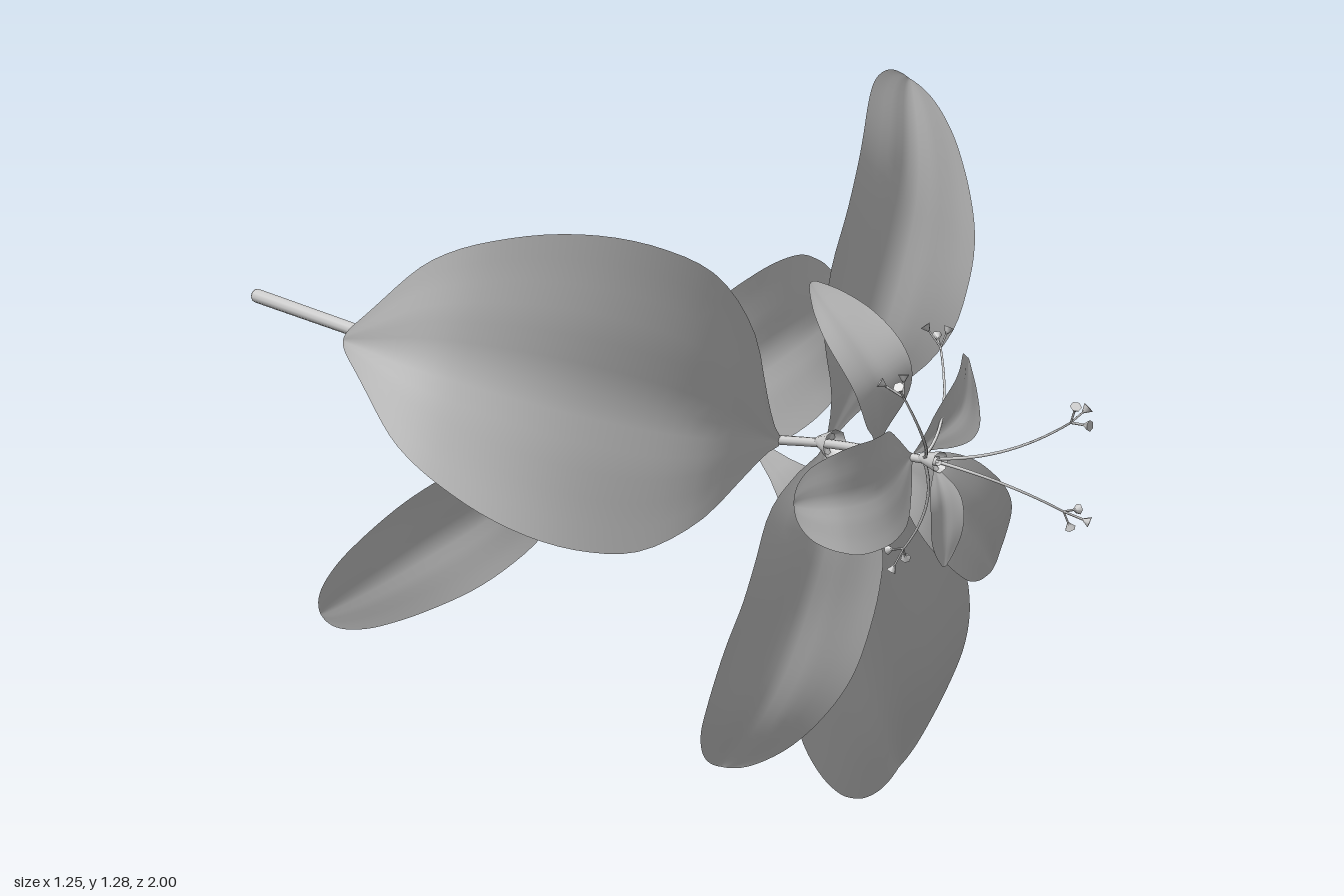
import * as THREE from 'three';

const V = (a) => new THREE.Vector3(...a);
const grey = new THREE.MeshStandardMaterial({ color: 0xcccccc, side: THREE.DoubleSide });

// Blade half-width profiles from base to tip; every tip is rounded off as well
const BROAD = [0.03, 0.3, 0.68, 0.93, 1, 0.97, 0.84, 0.6, 0.17];
const PLAIN = [0.03, 0.28, 0.72, 0.95, 1, 0.97, 0.84, 0.57, 0.25];
const POINTED = [0.03, 0.2, 0.6, 0.9, 1, 0.95, 0.8, 0.58, 0.36];
const ROUND = [0.03, 0.5, 0.92, 1, 1, 0.98, 0.88, 0.72, 0.5];
const BLUNT = [0.03, 0.26, 0.72, 0.95, 1, 1, 0.9, 0.73, 0.52];

// Leaf blade: a plane swept along its midrib, widened by a profile and gently cupped
function blade(name, rib, halfWidth, profile = PLAIN, tilt = 0) {
  const curve = new THREE.CatmullRomCurve3(rib.map(V));
  const widths = new THREE.SplineCurve(profile.map((w, i) => new THREE.Vector2(i, w)));
  const chord = V(rib[rib.length - 1]).sub(V(rib[0]));
  const across = new THREE.Vector3(-chord.y, chord.x, 0).normalize();
  across.z = tilt;
  const geo = new THREE.PlaneGeometry(1, 1, 12, 40);
  const pos = geo.attributes.position;
  for (let i = 0; i < pos.count; i++) {
    const u = pos.getX(i) * 2;
    // Rows crowd towards the tip so that its rounding stays smooth
    const t = Math.sin(THREE.MathUtils.clamp(pos.getY(i) + 0.5, 0, 1) * Math.PI / 2);
    const tangent = curve.getTangentAt(t);
    const side = across.clone().addScaledVector(tangent, -across.dot(tangent)).normalize();
    const normal = side.clone().cross(tangent);
    if (normal.z < 0) normal.negate();
    const round = Math.sqrt(Math.max(1 - t ** 24, 0.0001));
    const w = halfWidth * widths.getPoint(t).y * round;
    const lift = w * (0.1 * u * u - 0.06 * Math.exp(-u * u * 14) + 0.025 * Math.sin(9 * t + 2 * u));
    const p = curve.getPointAt(t).addScaledVector(side, u * w).addScaledVector(normal, lift);
    pos.setXYZ(i, p.x, p.y, p.z);
  }
  geo.computeVertexNormals();
  const mesh = new THREE.Mesh(geo, grey);
  mesh.name = name;
  return mesh;
}

// Round rod along a curve, thinning from r0 to r1
function rod(name, curve, r0, r1, segments, sides) {
  const geo = new THREE.TubeGeometry(curve, segments, 1, sides);
  const pos = geo.attributes.position;
  for (let i = 0; i < pos.count; i++) {
    const t = Math.floor(i / (sides + 1)) / segments;
    const c = curve.getPointAt(t);
    const p = new THREE.Vector3().fromBufferAttribute(pos, i).sub(c);
    p.multiplyScalar(r0 + (r1 - r0) * t).add(c);
    pos.setXYZ(i, p.x, p.y, p.z);
  }
  const mesh = new THREE.Mesh(geo, grey);
  mesh.name = name;
  return mesh;
}

// Thin filament ending in a small fork of budded branches
function stamen(mid, tip) {
  const group = new THREE.Group();
  group.name = 'stamen';
  const end = V(tip);
  const curve = new THREE.QuadraticBezierCurve3(V([0.09, 0.75, 0.74]), V(mid), end);
  group.add(rod('filament', curve, 0.0028, 0.0016, 16, 5));
  const dir = curve.getTangent(1);
  const turn = new THREE.Quaternion().setFromUnitVectors(V([0, 0, 1]), dir);
  for (let i = 0; i < 3; i++) {
    const a = (i * Math.PI * 2) / 3 + 0.5;
    const len = i === 1 ? 0.03 : 0.023;
    const out = V([0.6 * Math.cos(a), 0.6 * Math.sin(a), 0.9]).multiplyScalar(len).applyQuaternion(turn);
    const head = end.clone().add(out);
    group.add(rod('stamenBranch', new THREE.LineCurve3(end, head), 0.0018, 0.0018, 1, 4));
    const bud = new THREE.Mesh(new THREE.ConeGeometry(0.008, 0.013, 6), grey);
    bud.name = 'anther';
    bud.position.copy(head);
    bud.quaternion.setFromUnitVectors(V([0, -1, 0]), out.normalize());
    group.add(bud);
  }
  return group;
}

export function createModel() {
  const model = new THREE.Group();
  model.name = 'flowerBranch';

  // Stem running from the cut end at the back to the flower head
  const stem = new THREE.CatmullRomCurve3([
    [0.025, 0.738, -1], [0.05, 0.712, -0.6], [0.065, 0.69, -0.2], [0.065, 0.687, 0.05],
    [0.075, 0.715, 0.4], [0.085, 0.735, 0.56], [0.09, 0.75, 0.77],
  ].map(V));
  model.add(rod('stem', stem, 0.014, 0.006, 60, 10));
  const cut = new THREE.Mesh(new THREE.CircleGeometry(0.014, 10), grey);
  cut.name = 'stemEnd';
  cut.position.set(0.025, 0.738, -1);
  cut.rotation.y = Math.PI;
  model.add(cut);

  // Large leaves, base to tip
  model.add(
    blade('leftLargeLeaf', [[0.075, 0.72, 0.46], [-0.1, 0.785, 0.515], [-0.33, 0.862, 0.5], [-0.5, 0.915, 0.43], [-0.622, 0.945, 0.33]], 0.217, BROAD),
    blade('upperLeaf', [[0.085, 0.73, 0.55], [0.15, 0.9, 0.58], [0.24, 1.08, 0.555], [0.34, 1.253, 0.45]], 0.148, BLUNT),
    blade('rightBackLeaf', [[0.065, 0.69, 0.08], [0.2, 0.73, 0.16], [0.4, 0.79, 0.148], [0.52, 0.815, 0.105], [0.62, 0.84, 0.04]], 0.138, PLAIN, -0.22),
    blade('leftBackLeaf', [[0.063, 0.687, -0.05], [0.0, 0.65, 0.025], [-0.15, 0.57, 0.045], [-0.3, 0.495, 0.01], [-0.45, 0.425, -0.025]], 0.103, BLUNT),
    blade('lowerLargeLeaf', [[0.075, 0.715, 0.39], [0.15, 0.6, 0.46], [0.275, 0.4, 0.45], [0.41, 0.2, 0.4], [0.555, 0.012, 0.285]], 0.214, POINTED),
    blade('lowerFrontLeaf', [[0.085, 0.73, 0.55], [0.035, 0.62, 0.595], [-0.015, 0.48, 0.6], [-0.065, 0.36, 0.58], [-0.105, 0.262, 0.54]], 0.14, ROUND),
  );

  // Small petals around the flower heart
  model.add(
    blade('upperPetal', [[0.088, 0.74, 0.65], [0.047, 0.86, 0.695], [-0.025, 1.0, 0.62]], 0.056),
    blade('rightPetal', [[0.09, 0.75, 0.72], [0.17, 0.805, 0.735], [0.268, 0.857, 0.66]], 0.05, BROAD),
    blade('lowerRightPetal', [[0.088, 0.742, 0.65], [0.18, 0.67, 0.69], [0.28, 0.59, 0.69], [0.37, 0.508, 0.64]], 0.078),
    blade('leftPetal', [[0.09, 0.75, 0.72], [0.0, 0.717, 0.742], [-0.06, 0.71, 0.73], [-0.115, 0.705, 0.69]], 0.083, ROUND),
    blade('lowerPetal', [[0.09, 0.75, 0.76], [0.09, 0.69, 0.785], [0.095, 0.597, 0.785]], 0.034),
  );

  // Flared collars where the petals leave the stem
  [[0.085, 0.735, 0.55], [0.088, 0.743, 0.65], [0.09, 0.75, 0.755]].forEach((p, i) => {
    const collar = new THREE.Mesh(new THREE.CylinderGeometry(0.024 - 0.004 * i, 0.007, 0.036, 8, 1, true), grey);
    collar.name = 'collar';
    collar.position.set(...p);
    collar.rotation.x = Math.PI / 2;
    model.add(collar);
  });

  // Stamens: bend point, tip
  [
    [[0.12, 0.74, 0.86], [0.21, 0.685, 0.9]],
    [[0.12, 0.76, 0.86], [0.128, 0.84, 0.97]],
    [[0.05, 0.77, 0.8], [-0.003, 0.86, 0.785]],
    [[0.14, 0.79, 0.75], [0.172, 0.892, 0.69]],
    [[0.12, 0.68, 0.75], [0.132, 0.59, 0.67]],
  ].forEach(([mid, tip]) => model.add(stamen(mid, tip)));

  return model;
}
